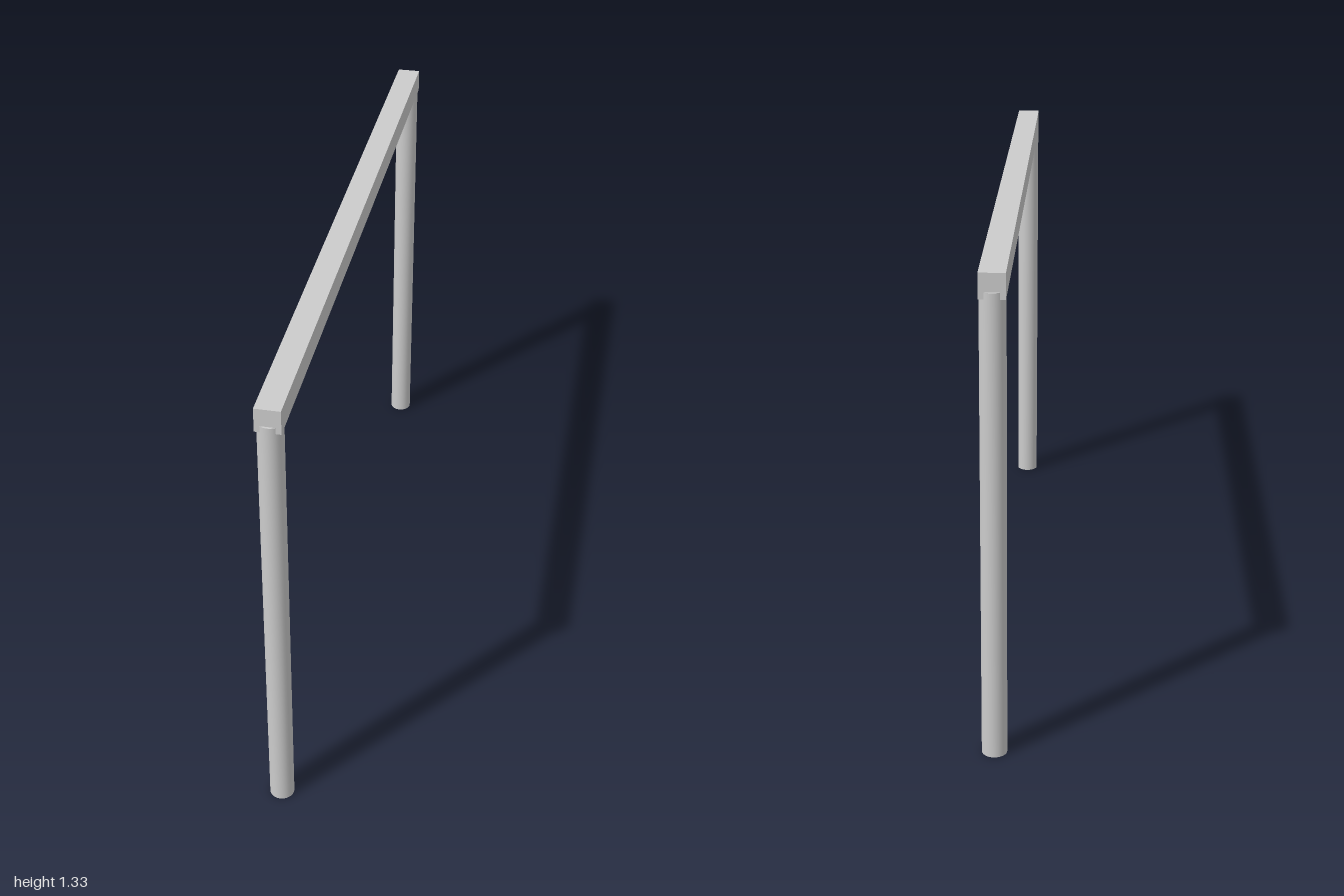
import * as THREE from 'three';

export function createModel() {
  const group = new THREE.Group();
  const material = new THREE.MeshStandardMaterial({ color: 0xcccccc });
  const radius = 0.034;
  const postHeight = 1.279;

  // Square crossbeam running front to back
  const beam = new THREE.Mesh(new THREE.BoxGeometry(radius * 2, 0.067, 1.987), material);
  beam.name = 'crossbeam';
  beam.position.y = 1.2945;
  group.add(beam);

  // Round posts, let slightly into the beam ends
  const postGeometry = new THREE.CylinderGeometry(radius, radius, postHeight, 32);
  for (const [name, side] of [['frontPost', 1], ['backPost', -1]]) {
    const post = new THREE.Mesh(postGeometry, material);
    post.name = name;
    post.position.set(0, postHeight / 2, side * (1 - radius));
    group.add(post);
  }

  return group;
}
